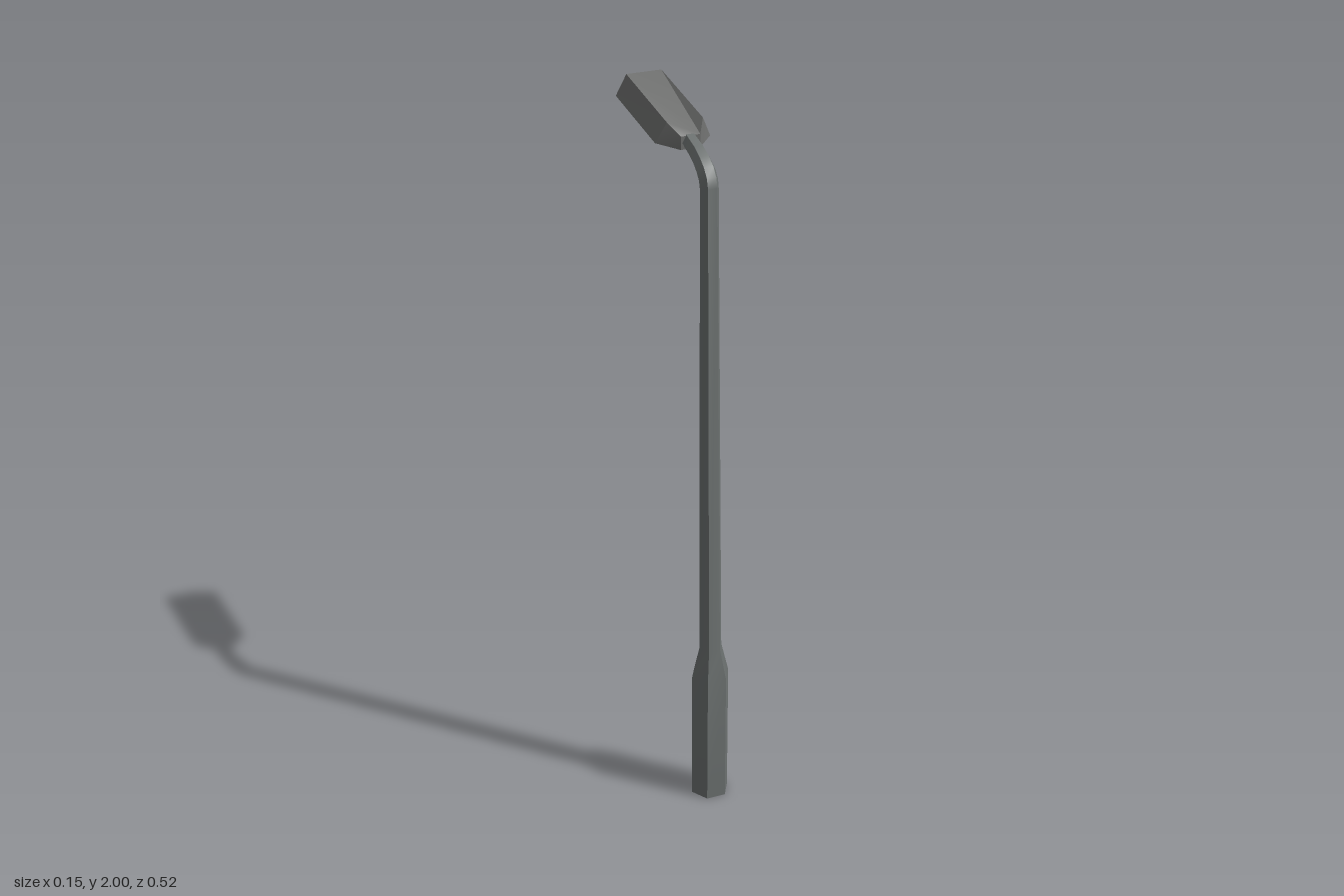
import * as THREE from 'three';
import { toCreasedNormals } from 'three/addons/utils/BufferGeometryUtils.js';

// Skin equal-sized loops of [x, y, z] points; optionally close both ends
function skin(loops, capped) {
  const n = loops[0].length, index = [];
  for (let i = 0; i < loops.length - 1; i++) {
    for (let j = 0; j < n; j++) {
      const a = i * n + j, b = i * n + (j + 1) % n;
      index.push(a, b, b + n, a, b + n, a + n);
    }
  }
  if (capped) {
    const last = (loops.length - 1) * n;
    for (let j = 1; j < n - 1; j++) {
      index.push(0, j + 1, j, last, last + j, last + j + 1);
    }
  }
  const geometry = new THREE.BufferGeometry();
  geometry.setAttribute('position', new THREE.Float32BufferAttribute(loops.flat(2), 3));
  geometry.setIndex(index);
  return toCreasedNormals(geometry, Math.PI / 5);
}

// Hexagon around a point of the pole, tilted towards the back by an angle
function hexagon([z, y, radius, tilt]) {
  return Array.from({ length: 6 }, (_, i) => {
    const a = -i * Math.PI / 3;
    const d = radius * Math.sin(a);
    return [radius * Math.cos(a), y + d * Math.sin(tilt), z + d * Math.cos(tilt)];
  });
}

// Six-cornered lamp outline, mirrored from its three right-hand corners
function lampLoop(half) {
  return [...half, ...half.map(([x, y, z]) => [-x, y, z]).reverse()];
}

export function createModel() {
  const poleGrey = new THREE.MeshStandardMaterial({ color: 0x6c7170, side: THREE.DoubleSide });
  poleGrey.name = 'pole grey';
  const lampGrey = new THREE.MeshStandardMaterial({ color: 0x6f706f });
  lampGrey.name = 'lamp grey';

  const group = new THREE.Group();
  group.name = 'streetLamp';

  // Thick base, tapering shaft and bent arm: z, y, radius, tilt
  const rings = [
    [0.214, 0, 0.055, 0],
    [0.214, 0.39, 0.055, 0],
    [0.214, 0.48, 0.033, 0],
    [0.187, 1.83, 0.026, 0.15],
    [0.181, 1.849, 0.026, 0.5],
    [0.167, 1.866, 0.026, 0.85],
    [0.143, 1.882, 0.025, 1.08],
    [0.11, 1.897, 0.024, 1.2],
    [0.05, 1.914, 0.022, 1.32],
  ];
  const pole = new THREE.Mesh(skin(rings.map(hexagon), false), poleGrey);
  pole.name = 'poleAndArm';
  group.add(pole);

  // Lamp head: wide underside, narrower top, pointed towards the arm
  const bottom = lampLoop([[0.027, 1.892, 0.065], [0.077, 1.9, 0.013], [0.077, 1.941, -0.262]]);
  const top = lampLoop([[0.027, 1.928, 0.065], [0.05, 1.957, 0.028], [0.05, 2, -0.253]]);
  const head = new THREE.Mesh(skin([bottom, top], true), lampGrey);
  head.name = 'lampHead';
  group.add(head);

  // Hexagon winding runs the other way round from the pole axis
  return group;
}
